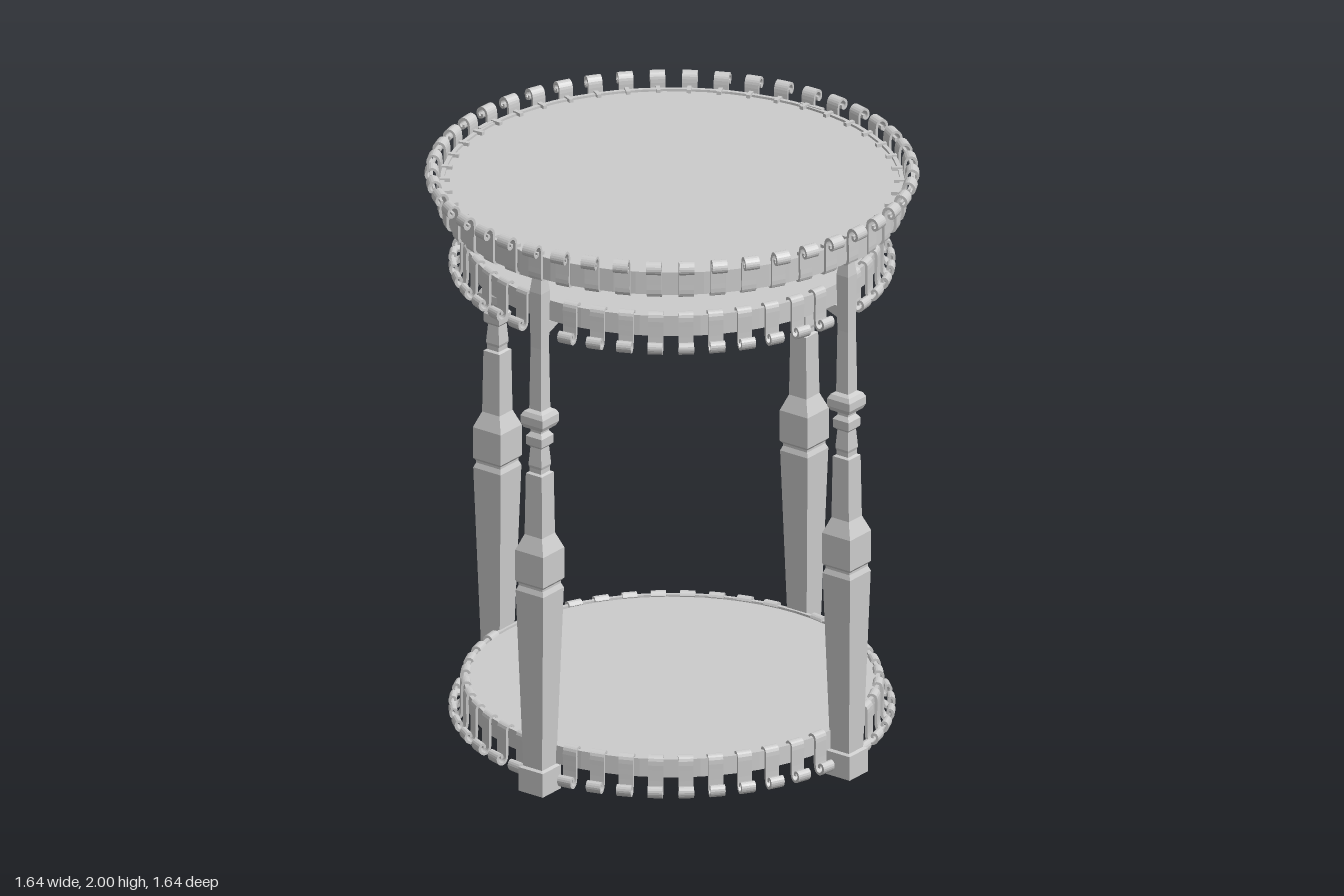
import * as THREE from 'three';

const flat = new THREE.MeshStandardMaterial({ color: 0xcccccc, flatShading: true });

function add(parent, geometry, name) {
  const mesh = new THREE.Mesh(geometry, flat);
  mesh.name = name;
  parent.add(mesh);
  return mesh;
}

// Extrude a side outline (x = outward, y = up) to a width centred on z = 0
function slab(shape, width) {
  return new THREE.ExtrudeGeometry(shape, { depth: width, bevelEnabled: false }).translate(0, 0, -width / 2);
}

// Thin bent strip following a smooth path in the outward/up plane
function ribbon(path, thickness, width) {
  const curve = new THREE.SplineCurve(path.map(([x, y]) => new THREE.Vector2(x, y)));
  const outer = [], inner = [], n = 32;
  for (let i = 0; i <= n; i++) {
    const p = curve.getPoint(i / n), t = curve.getTangent(i / n);
    const side = new THREE.Vector2(-t.y, t.x).multiplyScalar(thickness / 2);
    outer.push(p.clone().add(side));
    inner.unshift(p.clone().sub(side));
  }
  return slab(new THREE.Shape([...outer, ...inner]), width);
}

// Scroll strip: small hook round the band, straight stem, then an outward curl
const scrollPath = [
  [-0.02, 0.014], [-0.014, 0.005], [-0.002, 0.005], [0.007, 0.016], [0.007, 0.06],
  [0.007, 0.108], [0.013, 0.128], [0.027, 0.135], [0.041, 0.127], [0.046, 0.112],
  [0.039, 0.1], [0.028, 0.103], [0.028, 0.114],
];

function tier(name, { radius, bandLow, bandHigh, scrollBase, flip, count, offset, skipAtLegs }) {
  const group = new THREE.Group();
  group.name = name;
  const lip = 0.008, r0 = radius - 0.014;

  // Disc with a slightly raised rim
  const profile = [[0, bandLow], [radius, bandLow], [radius, bandHigh], [r0, bandHigh], [r0, bandHigh - lip], [0, bandHigh - lip]];
  add(group, new THREE.LatheGeometry(profile.map(([x, y]) => new THREE.Vector2(x, y)), 64), 'shelfDisc');

  // Scrolls around the edge
  const path = scrollPath.map(([x, y]) => [radius + x, flip ? scrollBase - y : scrollBase + y]);
  const scroll = ribbon(path, 0.009, 0.05);
  const clip = new THREE.BoxGeometry(0.04, 0.012, 0.014).translate(radius - 0.014, bandHigh, 0);
  for (let i = 0; i < count; i++) {
    if (skipAtLegs && i % (count / 4) === 0) continue;
    const angle = offset + (i / count) * Math.PI * 2;
    add(group, scroll, 'edgeScroll').rotation.y = angle;
    if (!flip) add(group, clip, 'rimClip').rotation.y = angle;
  }
  return group;
}

// Half-width of the square leg against height
const legProfile = [
  [0, 0], [0.05, 0], [0.05, 0.085], [0.039, 0.09], [0.057, 0.725], [0.05, 0.742],
  [0.05, 0.75], [0.058, 0.76], [0.058, 0.87], [0.036, 0.925], [0.033, 1.145], [0.024, 1.15],
  [0.024, 1.165], [0.027, 1.175], [0.022, 1.24], [0.032, 1.25], [0.033, 1.28], [0.022, 1.295],
  [0.022, 1.305], [0.038, 1.312], [0.046, 1.328], [0.046, 1.355], [0.038, 1.37], [0.025, 1.378],
  [0.022, 1.6], [0.024, 1.8], [0.018, 1.85], [0.018, 1.88], [0, 1.88],
];

export function createModel() {
  const model = new THREE.Group();
  model.name = 'tieredRoundTable';

  model.add(
    tier('topShelf', { radius: 0.768, bandLow: 1.868, bandHigh: 1.948, scrollBase: 1.86, flip: false, count: 46, offset: 0.026 }),
    tier('middleShelf', { radius: 0.69, bandLow: 1.685, bandHigh: 1.757, scrollBase: 1.77, flip: true, count: 44, offset: 0, skipAtLegs: true }),
    tier('bottomShelf', { radius: 0.69, bandLow: 0.092, bandHigh: 0.157, scrollBase: 0.168, flip: true, count: 44, offset: 0, skipAtLegs: true }),
  );

  // Four square turned legs
  const points = legProfile.map(([x, y]) => new THREE.Vector2(x * Math.SQRT2, y));
  const legGeometry = new THREE.LatheGeometry(points, 4).rotateY(Math.PI / 4).translate(0.725, 0, 0);
  const plate = new THREE.BoxGeometry(0.016, 0.085, 0.09).translate(0.768, 1.908, 0);
  const wedge = y => slab(new THREE.Shape([
    new THREE.Vector2(0.71, y), new THREE.Vector2(0.59, y), new THREE.Vector2(0.71, y - 0.045),
  ]), 0.04);
  const wedges = [wedge(0.093), wedge(1.686)];

  for (let i = 0; i < 4; i++) {
    const leg = new THREE.Group();
    leg.name = 'leg';
    add(leg, legGeometry, 'legPost');
    add(leg, plate, 'topMount');
    wedges.forEach(g => add(leg, g, 'shelfBracket'));
    leg.rotation.y = (i * Math.PI) / 2;
    model.add(leg);
  }
  return model;
}
